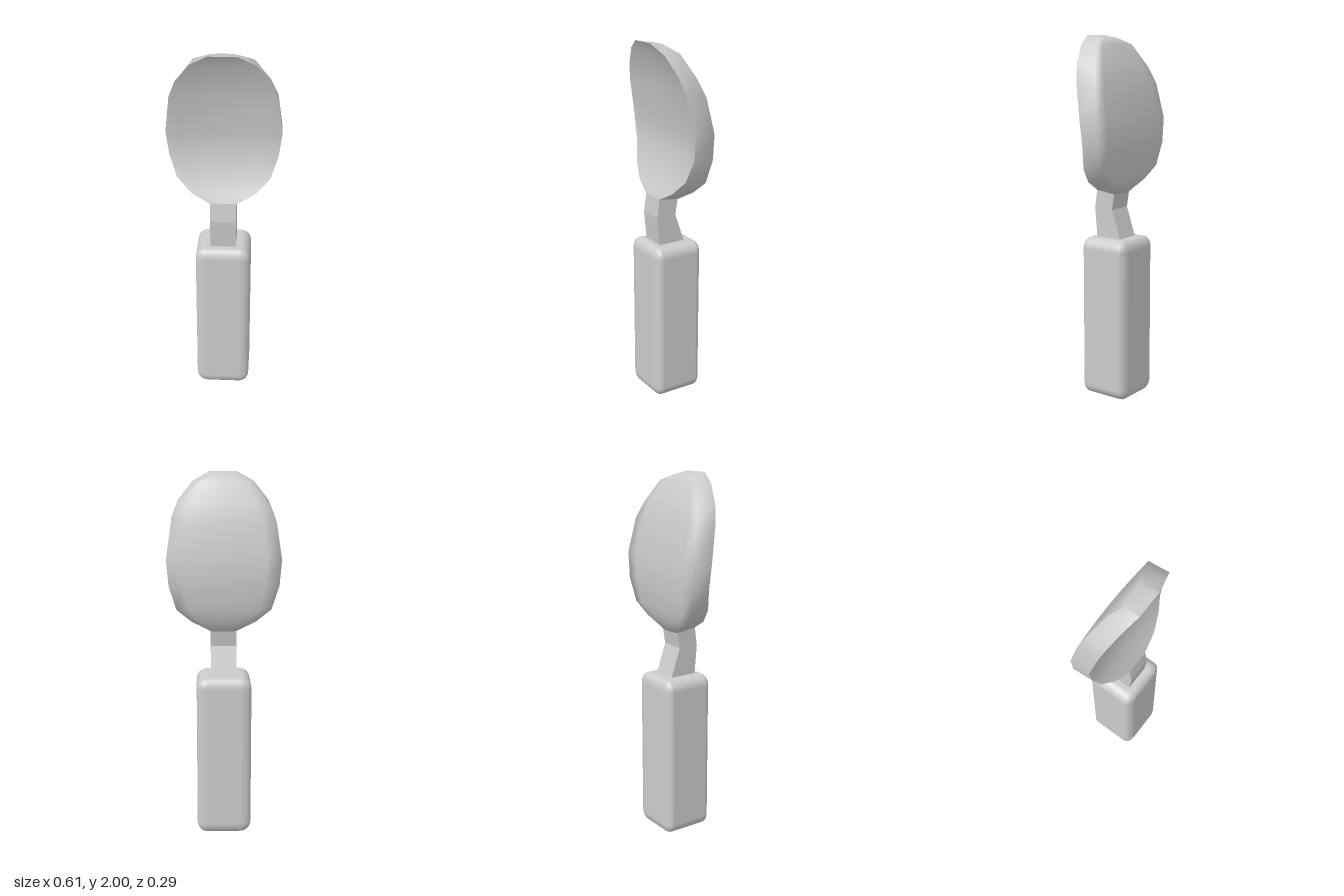
import * as THREE from 'three';
import { RoundedBoxGeometry } from 'three/addons/geometries/RoundedBoxGeometry.js';

const material = new THREE.MeshStandardMaterial({ color: 0xcccccc });

// Bowl rows from tip to neck: [y, half width, z] of the front rim and of the back edge
const rows = [
  [[2.0, 0.075, 0.14], [1.985, 0.07, 0.053]],
  [[1.95, 0.165, 0.113], [1.95, 0.155, 0.014]],
  [[1.85, 0.245, 0.08], [1.83, 0.24, -0.035]],
  [[1.76, 0.28, 0.057], [1.74, 0.28, -0.065]],
  [[1.55, 0.307, 0.015], [1.55, 0.307, -0.1]],
  [[1.42, 0.29, 0.012], [1.41, 0.295, -0.1]],
  [[1.3, 0.25, 0.037], [1.28, 0.255, -0.085]],
  [[1.22, 0.17, 0.068], [1.21, 0.175, -0.06]],
  [[1.165, 0.07, 0.085], [1.15, 0.07, -0.03]],
];
const steps = [-1, -0.75, -0.5, -0.25, 0, 0.25, 0.5, 0.75, 1];

// Smooth surface through a grid of points
function gridMesh(name, grid, flip) {
  const n = grid[0].length;
  const index = [];
  for (let i = 0; i < grid.length - 1; i++) {
    for (let j = 0; j < n - 1; j++) {
      const a = i * n + j, b = a + n;
      if (flip) index.push(a, b + 1, b, a, a + 1, b + 1);
      else index.push(a, b, b + 1, a, b + 1, a + 1);
    }
  }
  const geometry = new THREE.BufferGeometry();
  geometry.setAttribute('position', new THREE.Float32BufferAttribute(grid.flat(2), 3));
  geometry.setIndex(index);
  geometry.computeVertexNormals();
  const mesh = new THREE.Mesh(geometry, material);
  mesh.name = name;
  return mesh;
}

// A row of points across the bowl, bulging towards the back by depth
const across = ([y, w, z], depth) => steps.map((t) => [t * w, y, z - depth * (1 - t * t)]);

function createBowl() {
  const bowl = new THREE.Group();
  bowl.name = 'bowl';
  const last = rows.length - 1;

  // Hollow front face
  const front = rows.map(([f], i) => across(f, 0.025 * Math.sin((Math.PI * i) / last)));

  // Side wall and back, closed at tip and neck by rows lying on the front rim
  const rim = ([y, w, z], side) => [side * w, y, z];
  const shellRow = (f, points) => [rim(f, -1), ...points, rim(f, 1)];
  const shell = rows.map(([f, b]) => shellRow(f, across(b, 0.012)));
  shell.unshift(shellRow(rows[0][0], across(rows[0][0], 0)));
  shell.push(shellRow(rows[last][0], across(rows[last][0], 0)));

  bowl.add(gridMesh('bowlFront', front, false), gridMesh('bowlBack', shell, true));
  return bowl;
}

// Bent neck: side profile in (z, y), extruded across x
function createNeck() {
  const profile = [
    [0.085, 0.87], [-0.078, 0.87], [-0.07, 0.905], [-0.016, 1.063],
    [-0.03, 1.15], [0.085, 1.168], [0.1, 1.063], [0.085, 0.905],
  ];
  const shape = new THREE.Shape(profile.map(([z, y]) => new THREE.Vector2(-z, y)));
  const geometry = new THREE.ExtrudeGeometry(shape, { depth: 0.14, bevelEnabled: false });
  geometry.translate(0, 0, -0.07).rotateY(Math.PI / 2);
  const neck = new THREE.Mesh(geometry, material);
  neck.name = 'neck';
  return neck;
}

// Chunky grip with rounded edges, wider rounding across the front
function createHandle() {
  const geometry = new RoundedBoxGeometry(0.2, 0.603, 0.29, 4, 0.04);
  geometry.scale(1.5, 1.5, 1).translate(0, 0.4525, 0);
  const handle = new THREE.Mesh(geometry, material);
  handle.name = 'handle';
  return handle;
}

export function createModel() {
  const spoon = new THREE.Group();
  spoon.name = 'spoon';
  spoon.add(createBowl(), createNeck(), createHandle());
  return spoon;
}
